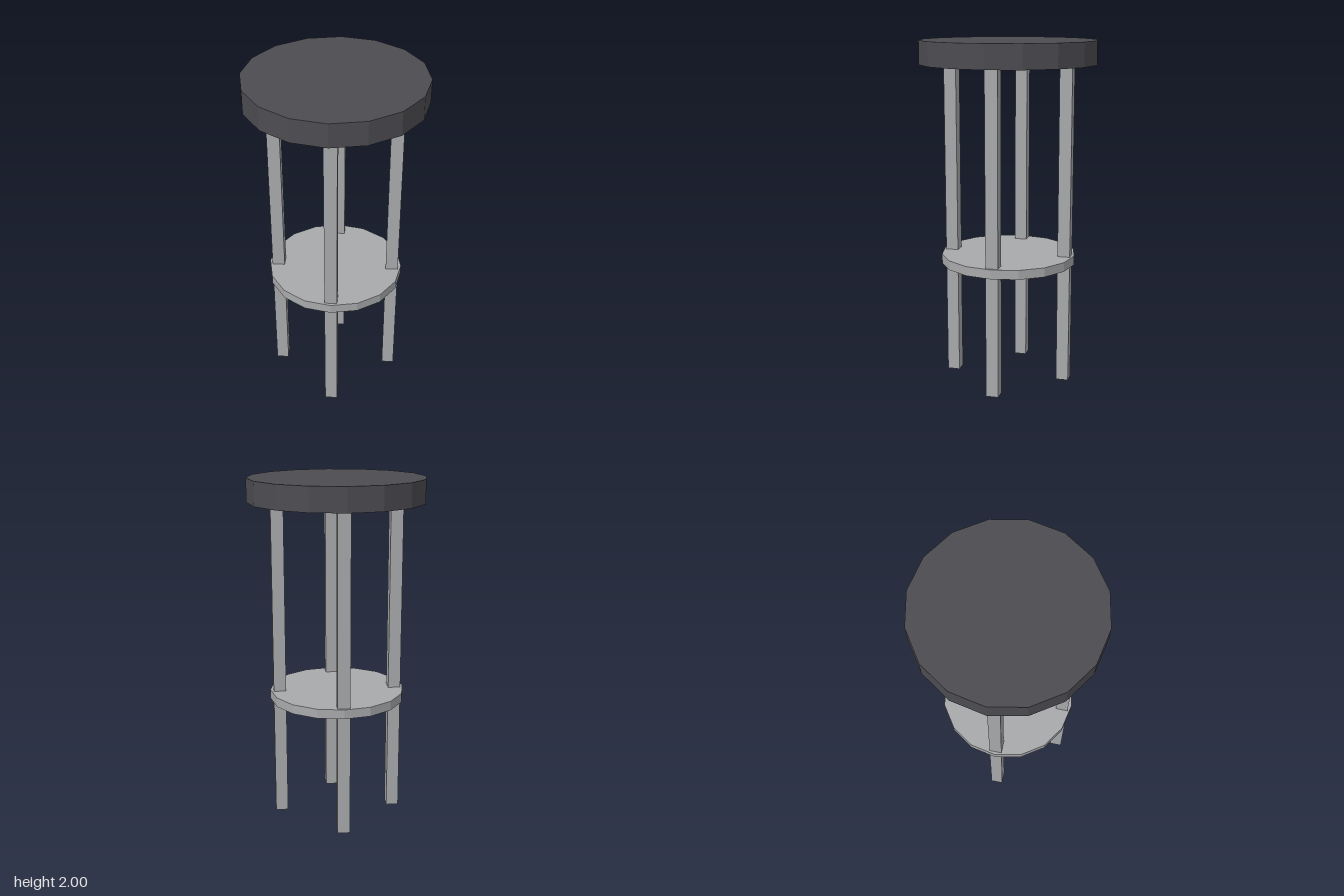
import * as THREE from 'three';

export function createModel() {
  const model = new THREE.Group();
  model.name = 'barStool';

  const seatMaterial = new THREE.MeshStandardMaterial({ color: 0x4d4c51, flatShading: true });
  seatMaterial.name = 'dark cushion';
  const metalMaterial = new THREE.MeshStandardMaterial({ color: 0xa9aaac, flatShading: true });
  metalMaterial.name = 'grey metal';

  // Upright prism between two heights
  function prism(name, radius, sides, bottom, top, material, x = 0, z = 0) {
    const geometry = new THREE.CylinderGeometry(radius, radius, top - bottom, sides);
    const mesh = new THREE.Mesh(geometry, material);
    mesh.name = name;
    mesh.position.set(x, (bottom + top) / 2, z);
    model.add(mesh);
  }

  // Round seat and footrest disc
  prism('seat', 0.506, 16, 1.865, 2, seatMaterial);
  prism('footrest', 0.394, 16, 0.71, 0.764, metalMaterial);

  // Four square legs, turned so that a corner faces front
  for (const [side, x] of [['Left', 0.24], ['Right', -0.24]]) {
    for (const [end, z] of [['front', 0.24], ['back', -0.24]]) {
      prism(`${end}${side}Leg`, 0.051, 4, 0, 1.87, metalMaterial, x, z);
    }
  }

  return model;
}
